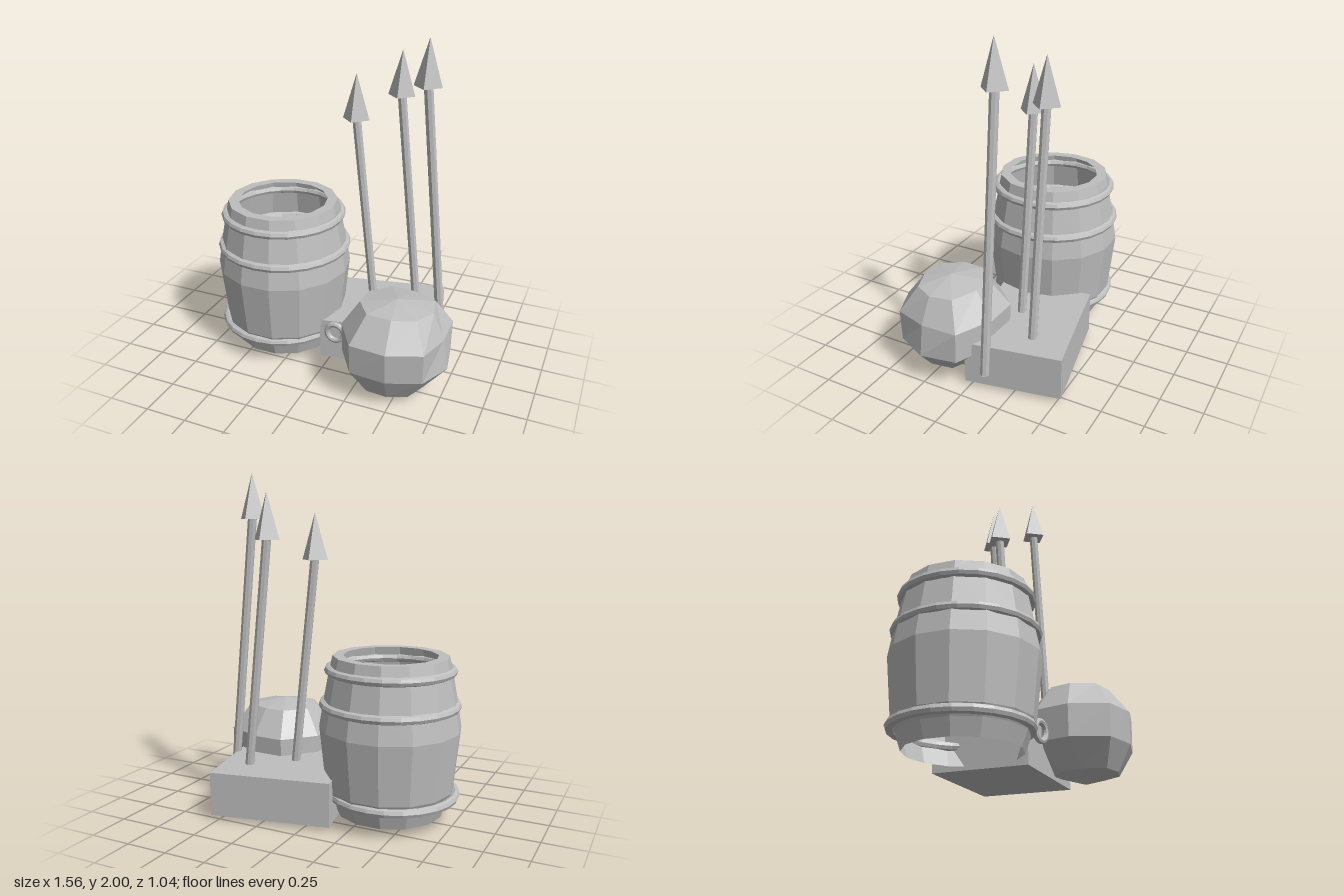
import * as THREE from 'three';

const stone = new THREE.MeshStandardMaterial({ color: 0xbebebe, flatShading: true, side: THREE.DoubleSide });
stone.name = 'plain grey';

function add(parent, name, geometry, x = 0, y = 0, z = 0) {
  const mesh = new THREE.Mesh(geometry, stone);
  mesh.name = name;
  mesh.position.set(x, y, z);
  parent.add(mesh);
  return mesh;
}

function group(parent, name) {
  const g = new THREE.Group();
  g.name = name;
  parent.add(g);
  return g;
}

// Lumpy sack from horizontal rings that follow one uneven outline
function sackGeometry() {
  const cx = 0.465, cz = 0.215;
  const outline = [
    [-0.141, -0.303], [0.052, -0.295], [0.278, -0.19], [0.317, 0.028], [0.227, 0.224],
    [0.031, 0.304], [-0.187, 0.287], [-0.312, 0.09], [-0.304, -0.119],
  ];
  // height, x scale, z scale and z shift of each ring
  const rings = [
    [0.582, 0, 0, 0.01], [0.543, 0.68, 0.61, 0], [0.39, 1, 1, 0],
    [0.205, 0.99, 0.97, 0], [0.055, 0.57, 0.6, 0.035], [0.003, 0, 0, 0.02],
  ];
  const n = outline.length;
  const positions = [];
  const index = [];
  rings.forEach(([y, sx, sz, dz], k) => outline.forEach(([x, z], j) => {
    const dent = k === 2 && j === 3 ? 0.9 : 1; // flattened right shoulder
    positions.push(cx + x * sx * dent, y, cz + dz + z * sz);
    if (k === rings.length - 1) return;
    const a = k * n + j, b = k * n + (j + 1) % n, c = a + n, d = b + n;
    if (k > 0) index.push(a, b, d);
    if (k < rings.length - 2) index.push(a, d, c);
  }));
  const geometry = new THREE.BufferGeometry();
  geometry.setAttribute('position', new THREE.Float32BufferAttribute(positions, 3));
  geometry.setIndex(index);
  geometry.computeVertexNormals();
  return geometry;
}

// Straight shaft between two points
function shaftGeometry(from, to, radius) {
  return new THREE.TubeGeometry(new THREE.LineCurve3(from, to), 1, radius, 8, false);
}

export function createModel() {
  const model = new THREE.Group();
  model.name = 'barrelAndSpears';

  // Barrel: open thin bulging wall with a flat rim turned inward at the top
  const barrel = group(model, 'barrel');
  const profile = [
    [0.315, 0.05], [0.345, 0.14], [0.375, 0.2], [0.412, 0.55], [0.39, 0.69], [0.353, 0.89],
    [0.335, 0.968], [0.274, 0.968],
  ].map(([r, y]) => new THREE.Vector2(r, y));
  add(barrel, 'barrelStaves', new THREE.LatheGeometry(profile, 14), -0.37, 0, -0.015).rotation.y = Math.PI / 2;

  // Barrel hoops: height, outer radius, x
  for (const [y, r, x] of [[0.887, 0.382, -0.368], [0.687, 0.411, -0.366], [0.165, 0.39, -0.39]]) {
    const hoop = new THREE.TorusGeometry(r - 0.026, 0.026, 8, 24).rotateX(Math.PI / 2);
    add(barrel, 'barrelHoop', hoop, x, y, -0.015);
  }

  // Crate with a pull ring on its front
  const crate = group(model, 'crate');
  add(crate, 'crateBox', new THREE.BoxGeometry(0.714, 0.257, 0.565), 0.248, 0.157, -0.178)
    .rotation.y = 0.197;
  add(crate, 'crateRing', new THREE.TorusGeometry(0.055, 0.017, 8, 16), 0.06, 0.23, 0.182);

  // Spears: tip x, tip height, z, lean; the shafts end inside the crate
  const headHeight = 0.267, shaftFoot = 0.115;
  for (const [x, tip, z, lean] of [[0.072, 1.77, -0.1, 0.11], [0.28, 1.885, -0.285, 0.105], [0.488, 2, -0.1, 0.098]]) {
    const spear = group(model, 'spear');
    const neck = tip - headHeight;
    const top = new THREE.Vector3(x + 0.003, neck, z);
    const bottom = new THREE.Vector3(x + 0.003 + lean * (neck - shaftFoot), shaftFoot, z);
    add(spear, 'spearShaft', shaftGeometry(bottom, top, 0.027));
    const cap = new THREE.CircleGeometry(0.027, 8).rotateX(Math.PI / 2);
    add(spear, 'shaftEnd', cap, bottom.x, bottom.y, z);
    add(spear, 'spearHead', new THREE.ConeGeometry(0.082, headHeight, 4), x, tip - headHeight / 2, z);
  }

  add(model, 'sack', sackGeometry());
  return model;
}
